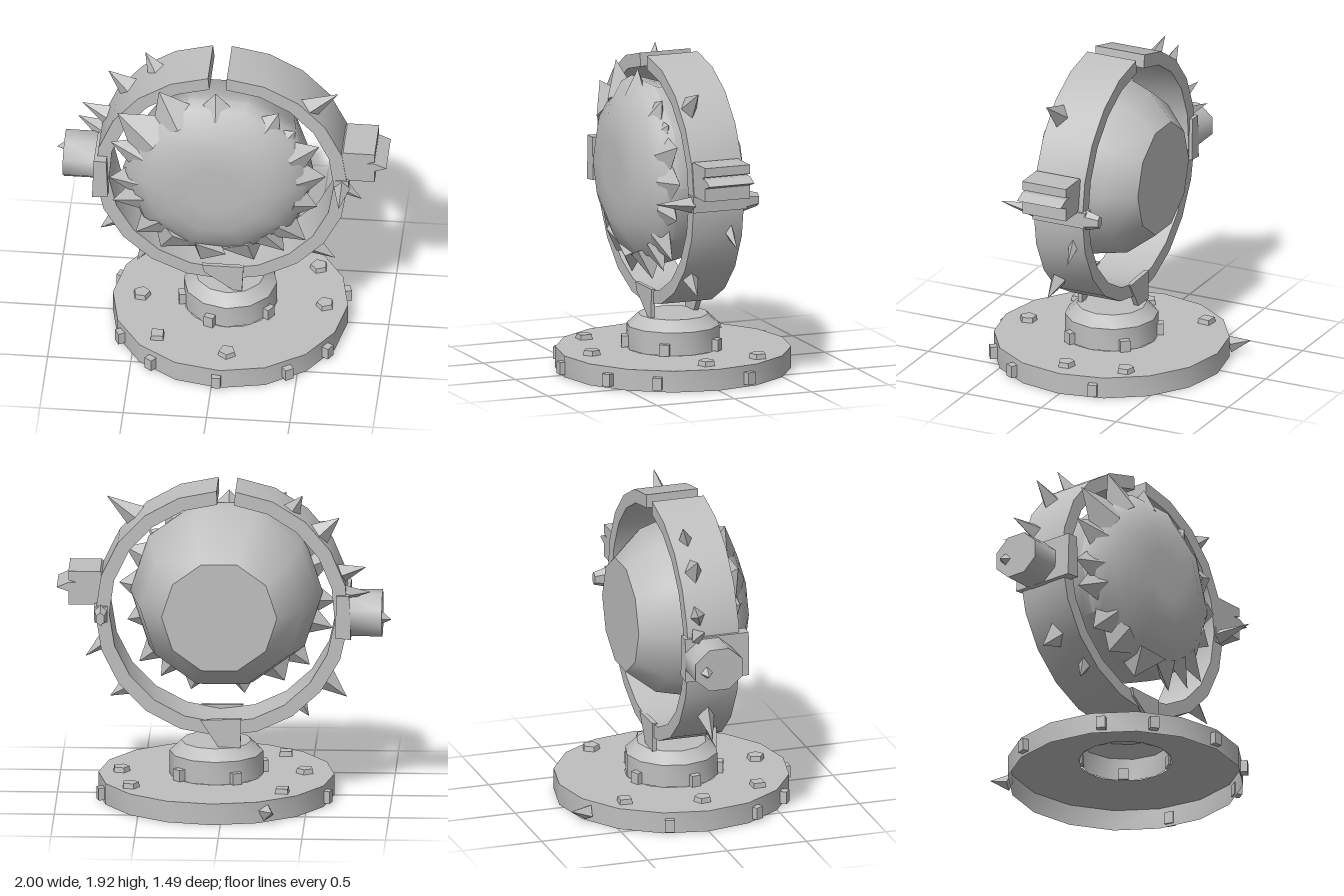
import * as THREE from 'three';
import { toCreasedNormals } from 'three/addons/utils/BufferGeometryUtils.js';

const metal = new THREE.MeshStandardMaterial({ color: 0xbfbfbf, side: THREE.DoubleSide });
metal.name = 'grey metal';
const V = (x, y, z) => new THREE.Vector3(x, y, z);

export function createModel() {
  const model = new THREE.Group();
  model.name = 'spikedOrbStand';

  const add = (name, geo, crease = 0.3) => {
    const mesh = new THREE.Mesh(toCreasedNormals(geo, crease), metal);
    mesh.name = name;
    model.add(mesh);
    return mesh;
  };
  const lathe = (pts, sides, start = 0) =>
    new THREE.LatheGeometry(pts.map(([r, y]) => new THREE.Vector2(r, y)), sides, start);

  // Four-sided pyramid from a base point to a tip, thinned along its local z
  const spike = (name, base, tip, radius, flat = 1) => {
    const dir = tip.clone().sub(base);
    const len = dir.length();
    const geo = new THREE.ConeGeometry(radius, len, 4);
    geo.translate(0, len / 2, 0).scale(1, 1, flat);
    const mesh = add(name, geo);
    mesh.position.copy(base);
    mesh.quaternion.setFromUnitVectors(V(0, 1, 0), dir.normalize());
  };
  // Profile in the xy plane, pushed along z
  const slab = (name, pts, z0, z1, crease = 0.3) => {
    const shape = new THREE.Shape(pts.map(([x, y]) => new THREE.Vector2(x, y)));
    const geo = new THREE.ExtrudeGeometry(shape, { depth: z1 - z0, bevelEnabled: false });
    geo.translate(0, 0, z0);
    return add(name, geo, crease);
  };

  // Base plate and hub: thin shells, open underneath
  const cx = 0.05;
  add('basePlate', lathe([[0.705, 0], [0.705, 0.13], [0.28, 0.13]], 16), 0.5).position.x = cx;
  add('hub', lathe([[0.28, 0.13], [0.28, 0.27], [0.21, 0.335], [0, 0.338]], 12), 0.6).position.x = cx;

  // Studs on the plate top
  [[-0.36, -0.43, 4, 0.7], [0.55, -0.34, 5, 1], [-0.35, 0.41, 4, 0.8], [0.08, 0.54, 5, 0], [0.62, 0.02, 5, 1],
    [-0.48, 0.02, 5, 0.5]]
    .forEach(([x, z, sides, turn]) => {
      const stud = add('plateStud', new THREE.CylinderGeometry(0.05, 0.055, 0.03, sides));
      stud.position.set(x, 0.146, z);
      stud.rotation.y = turn;
    });

  // Studs around the plate rim
  [[-0.6, 0.34], [-0.4, 0.6], [0.03, 0.72], [0.45, 0.59], [0.67, 0.36], [-0.64, -0.24], [0.73, -0.21]]
    .forEach(([x, z]) => {
      const a = Math.atan2(x - cx, z);
      const stud = add('rimStud', new THREE.BoxGeometry(0.055, 0.075, 0.05));
      stud.position.set(cx + 0.71 * Math.sin(a), 0.055, 0.71 * Math.cos(a));
      stud.rotation.y = a;
    });
  spike('rimSpike', V(-0.27, 0.06, -0.63), V(-0.31, 0.09, -0.75), 0.05);

  // Studs around the hub
  [-0.35, 1.0, 2.3, 3.6, 4.9].forEach((a) => {
    const stud = add('hubStud', new THREE.BoxGeometry(0.06, 0.07, 0.05));
    stud.position.set(cx + 0.285 * Math.sin(a), 0.168, 0.285 * Math.cos(a));
    stud.rotation.y = a;
  });

  // Neck brackets in front of and behind the ring
  slab('neckFront', [[0.09, 0.33], [0.135, 0.33], [0.145, 0.51], [-0.105, 0.51], [-0.09, 0.46]], 0.155, 0.18);
  slab('neckBack', [[-0.1, 0.33], [0.03, 0.33], [0.14, 0.5], [-0.105, 0.51]], -0.17, -0.14);

  // Open ring with a gap at the top
  const ringX = 0.01, ringY = 1.16, steps = 20;
  const arc = (r) => Array.from({ length: steps + 1 }, (_, i) => {
    const a = THREE.MathUtils.degToRad(96 + (351.5 * i) / steps);
    return [ringX + r * Math.cos(a), ringY + r * Math.sin(a)];
  });
  slab('ring', [...arc(0.758), ...arc(0.675).reverse()], -0.16, 0.165, 0.5);

  // Head: a domed front and a tapered, flat back, leaning slightly along its axis
  const head = lathe([[0, -0.33], [0.345, -0.33], [0.49, -0.16], [0.555, 0.08], [0.575, 0.17],
    [0.54, 0.24], [0.44, 0.305], [0.315, 0.362], [0.16, 0.368], [0, 0.37]], 10, Math.PI / 10);
  head.rotateX(Math.PI / 2);
  head.applyMatrix4(new THREE.Matrix4().makeShear(0, 0, 0, 0, -0.05, 0.06)).translate(0.004, 1.2, 0);
  add('head', head, 0.75);

  // Broad flat spikes round the head's rim: tip x, tip y, base radius
  [[-0.02, 1.83, 0.15], [-0.36, 1.82, 0.19], [-0.61, 1.64, 0.21], [-0.65, 1.42, 0.14], [-0.66, 1.15, 0.14],
    [-0.64, 0.98, 0.13], [-0.5, 0.75, 0.14], [-0.35, 0.65, 0.18], [-0.11, 0.57, 0.17], [0.21, 0.59, 0.15],
    [0.39, 0.67, 0.12], [0.52, 0.76, 0.13], [0.59, 1.02, 0.13], [0.64, 1.25, 0.15], [0.6, 1.47, 0.14],
    [0.46, 1.58, 0.12], [0.36, 1.71, 0.12]]
    .forEach(([x, y, r]) => {
      const out = V(x, y - 1.2, 0).normalize();
      spike('headSpike', V(out.x * 0.47, 1.2 + out.y * 0.47, 0.21), V(x, y, 0.2), r, 0.5);
    });

  // Spikes on the ring: base xyz, tip xyz, base radius
  [[0.51, 1.67, 0.1, 0.71, 1.81, 0.11, 0.085], [0.53, 0.67, 0.1, 0.69, 0.57, 0.11, 0.085],
    [0.71, 0.97, -0.08, 0.83, 0.87, -0.09, 0.05], [-0.56, 1.63, -0.07, -0.69, 1.74, -0.08, 0.08],
    [-0.39, 1.76, -0.06, -0.47, 1.88, -0.1, 0.07], [-0.67, 1.39, -0.08, -0.85, 1.45, -0.13, 0.075],
    [-0.7, 1.28, -0.08, -0.88, 1.31, -0.18, 0.07], [-0.59, 0.73, 0, -0.73, 0.61, 0, 0.08],
    [-0.41, 0.61, 0.08, -0.5, 0.46, 0.1, 0.08]]
    .forEach(([a, b, c, d, e, f, r]) => spike('ringSpike', V(a, b, c), V(d, e, f), r, 0.7));

  // Right side: clamp plate and faceted knob with a small point
  slab('rightClamp', [[-0.76, 1.01], [-0.665, 1.02], [-0.675, 1.28], [-0.75, 1.28]], -0.18, 0.22);
  const knob = new THREE.CylinderGeometry(0.14, 0.14, 0.24, 8);
  knob.rotateY(Math.PI / 8).rotateZ(Math.PI / 2).scale(1, 1, 1.15).translate(-0.825, 1.14, -0.03);
  add('rightKnob', knob, 0.9);
  spike('rightKnobPoint', V(-0.94, 1.13, -0.11), V(-1, 1.12, -0.11), 0.04);

  // Left side: notched lug with a ridge
  slab('leftLug', [[0.69, 1.34], [0.74, 1.405], [0.93, 1.405], [0.93, 1.35], [0.88, 1.335], [0.93, 1.335],
    [1, 1.305], [0.93, 1.28], [0.93, 1.2], [0.78, 1.2], [0.7, 1.25]], -0.13, 0.16);

  // Left clamp across the ring, with a blunt nub behind and a long spike in front
  slab('leftClamp', [[0.695, 1.1], [0.77, 1.1], [0.775, 1.2], [0.695, 1.2]], -0.18, 0.17);
  const nub = new THREE.CylinderGeometry(0.065, 0.04, 0.09, 6);
  nub.rotateX(Math.PI / 2).scale(0.7, 1, 1).translate(0.735, 1.145, -0.215);
  add('leftClampNub', nub);
  spike('leftClampSpike', V(0.735, 1.145, 0.16), V(0.735, 1.165, 0.4), 0.05);

  return model;
}
